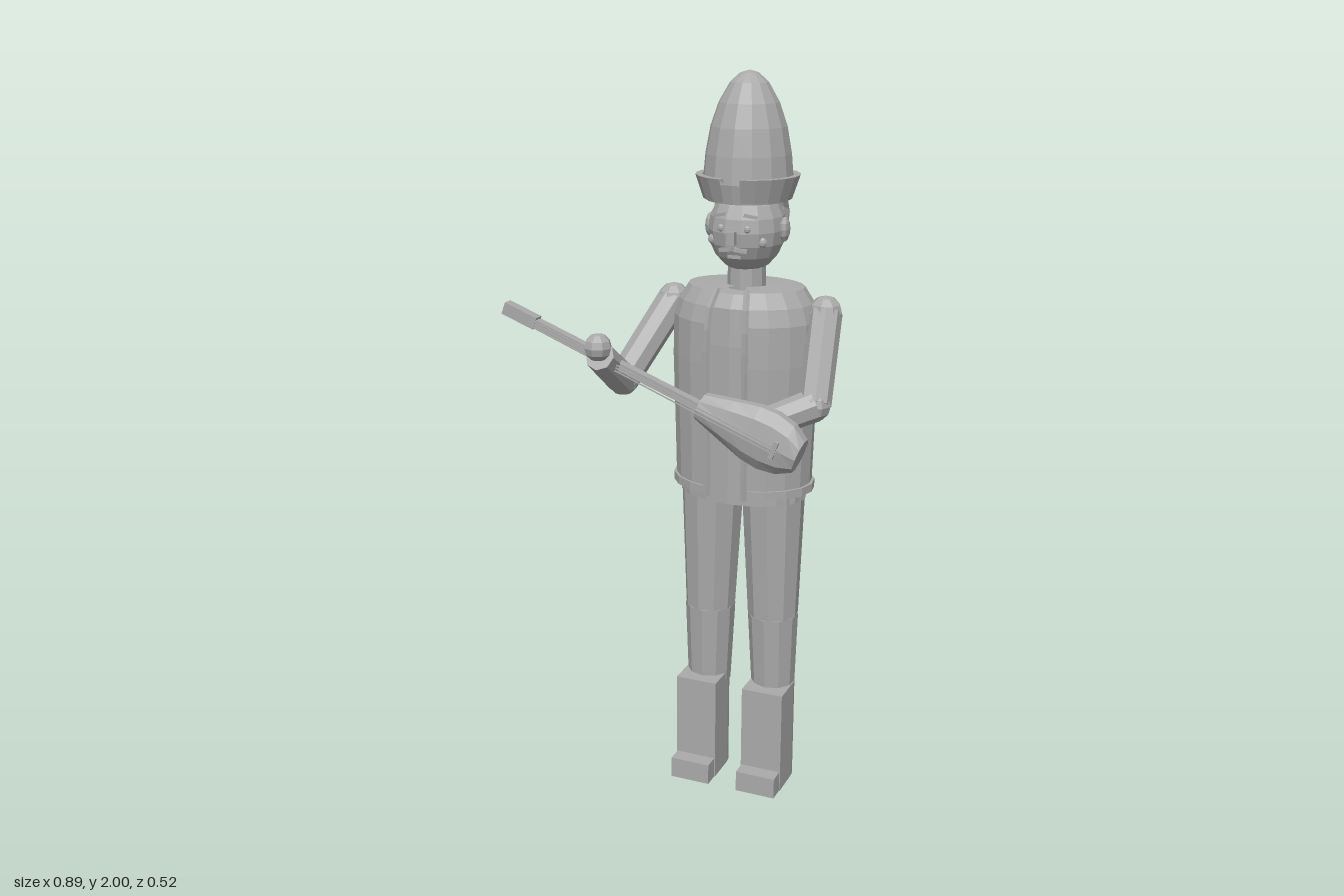
import * as THREE from 'three';

const CX = 0.158, CZ = -0.11; // body axis

export function createModel() {
  const root = new THREE.Group();
  root.name = 'toySoldier';
  const grey = new THREE.MeshStandardMaterial({ color: 0xaaaaaa, flatShading: true, side: THREE.DoubleSide });
  grey.name = 'plain grey';
  const V = (x, y, z) => new THREE.Vector3(x, y, z);

  function add(name, geo, x = 0, y = 0, z = 0, parent = root) {
    const m = new THREE.Mesh(geo, grey);
    m.name = name;
    m.position.set(x, y, z);
    parent.add(m);
    return m;
  }
  // turned solid with unit radii, squashed to an oval
  function oval(name, pts, sx, sz, seg = 16, start = 0, len = Math.PI * 2) {
    const g = new THREE.LatheGeometry(pts.map(p => new THREE.Vector2(p[0], p[1])), seg, start, len);
    g.scale(sx, 1, sz);
    return add(name, g, CX, 0, CZ);
  }
  function ball(name, x, y, z, r, sx = 1, sy = 1, sz = 1, seg = 8) {
    return add(name, new THREE.SphereGeometry(r, seg, 6).scale(sx, sy, sz), x, y, z);
  }
  // tapered round bar from a to b
  function limb(name, a, b, ra, rb, seg = 8) {
    const d = b.clone().sub(a);
    const m = add(name, new THREE.CylinderGeometry(rb, ra, d.length(), seg));
    m.position.copy(a).addScaledVector(d, 0.5);
    m.quaternion.setFromUnitVectors(V(0, 1, 0), d.normalize());
    return m;
  }

  // hat: egg crown and a split flared band
  const crown = [[0.108, 1.67], [0.119, 1.72], [0.113, 1.79], [0.1, 1.86], [0.079, 1.92], [0.05, 1.97], [0.024, 1.993], [0, 2]];
  oval('hatCrown', crown, 1, 1.02, 14);
  const band = [[0.117, 1.675], [0.138, 1.737], [0.12, 1.737], [0.109, 1.675], [0.117, 1.675]];
  for (const s of [0, 1]) oval('hatBand', band, 1, 1, 9, 0.2 + s * Math.PI, Math.PI - 0.4);

  // head, neck and hair
  add('head', new THREE.SphereGeometry(0.11, 14, 10).scale(0.93, 1.05, 1), CX, 1.595, CZ);
  add('neck', new THREE.CylinderGeometry(0.05, 0.052, 0.12, 10), CX, 1.46, CZ);
  oval('hair', [[0.098, 1.575], [0.114, 1.6], [0.118, 1.64], [0.108, 1.69]], 0.93, 1.02, 8, Math.PI * 0.58, Math.PI * 0.84);

  // face, mirrored
  for (const s of [-1, 1]) {
    ball('ear', CX + s * 0.104, 1.598, CZ, 0.033, 0.4, 1, 0.75);
    ball('eye', CX + s * 0.036, 1.608, CZ + 0.099, 0.01, 1, 1, 0.6);
    const brow = add('eyebrow', new THREE.BoxGeometry(0.036, 0.008, 0.012), CX + s * 0.042, 1.64, CZ + 0.089);
    brow.rotation.set(0, s * 0.4, -s * 0.2);
    ball('cheek', CX + s * 0.068, 1.572, CZ + 0.073, 0.014, 1, 1, 0.7);
    const tache = add('moustache', new THREE.BoxGeometry(0.036, 0.01, 0.014), CX + s * 0.02, 1.553, CZ + 0.103);
    tache.rotation.set(0, s * 0.25, -s * 0.15);
  }
  add('nose', new THREE.BoxGeometry(0.02, 0.034, 0.026), CX, 1.585, CZ + 0.11);
  add('mouth', new THREE.BoxGeometry(0.036, 0.008, 0.01), CX, 1.533, CZ + 0.092);

  // shirt and hips under the jacket
  oval('shirt', [[0, 0.86], [0.9, 0.86], [0.9, 1.0], [0.92, 1.3], [0.88, 1.4], [0.7, 1.435], [0, 1.44]], 0.2, 0.135);

  // jacket: open at the front, with hem and front edges
  const open = 0.26, wrap = Math.PI * 2 - open * 2;
  oval('jacket', [[0.96, 0.89], [0.98, 1.05], [1.01, 1.25], [1.0, 1.36], [0.93, 1.405], [0.8, 1.445], [0.3, 1.447]],
    0.2, 0.147, 18, open, wrap);
  oval('jacketHem', [[0.94, 0.887], [1, 0.887], [1, 0.91], [0.94, 0.91]], 0.2, 0.147, 18, open, wrap);
  for (const s of [-1, 1]) {
    const x = CX + s * 0.053;
    const path = new THREE.CatmullRomCurve3([
      V(x, 0.885, 0.032), V(x, 1.1, 0.035), V(x, 1.34, 0.038), V(x - s * 0.004, 1.41, 0.024), V(x - s * 0.012, 1.45, -0.005)]);
    add('jacketEdge', new THREE.TubeGeometry(path, 10, 0.009, 5));
  }

  // legs and boots
  const sole = new THREE.Shape();
  sole.moveTo(-0.06, 0.014);
  sole.lineTo(0.06, 0.014);
  sole.lineTo(0.06, 0.112);
  sole.absarc(0, 0.112, 0.06, 0, Math.PI, false);
  sole.closePath();
  const bootGeo = new THREE.ExtrudeGeometry(sole, { depth: 0.3, bevelEnabled: false, curveSegments: 6 }).rotateX(-Math.PI / 2);
  for (const s of [-1, 1]) {
    const hip = V(CX + s * 0.09, 0.89, -0.106), knee = V(CX + s * 0.095, 0.51, -0.108), ankle = V(CX + s * 0.098, 0.27, -0.112);
    limb('thigh', hip, knee, 0.088, 0.071, 10);
    limb('shin', knee, ankle, 0.071, 0.061, 10);
    add('boot', bootGeo, CX + s * 0.1, 0, 0);
    add('toe', new THREE.BoxGeometry(0.115, 0.06, 0.06), CX + s * 0.1, 0.03, 0.001);
  }

  // arms
  function arm(side, shoulder, elbow, wrist, hand) {
    ball(side + 'Shoulder', shoulder.x, shoulder.y, shoulder.z, 0.046);
    limb(side + 'UpperArm', shoulder, elbow, 0.045, 0.043);
    ball(side + 'Elbow', elbow.x, elbow.y, elbow.z, 0.043);
    limb(side + 'Forearm', elbow, wrist, 0.044, 0.04);
    ball(side + 'Hand', hand.x, hand.y, hand.z, 0.037);
  }
  arm('right', V(-0.055, 1.385, -0.115), V(-0.14, 1.185, 0.035), V(-0.138, 1.285, 0.18), V(-0.122, 1.32, 0.222));
  arm('left', V(0.378, 1.385, -0.115), V(0.398, 1.17, 0.015), V(0.275, 1.12, 0.085), V(0.26, 1.11, 0.11));

  // stringed instrument, laid out along its own x axis
  const lute = new THREE.Group();
  lute.name = 'lute';
  lute.position.set(0.125, 1.165, 0.122);
  lute.rotation.z = -0.36;
  root.add(lute);
  // body: oval rings whose width follows the outline
  const outline = [[0, 0.038], [0.08, 0.062], [0.15, 0.082], [0.2, 0.086], [0.25, 0.075], [0.29, 0.048]];
  const bodyGeo = new THREE.CylinderGeometry(1, 1, 1, 10, outline.length - 1);
  const pos = bodyGeo.attributes.position;
  for (let i = 0; i < pos.count; i++) {
    const [along, half] = outline[Math.round((0.5 - pos.getY(i)) * (outline.length - 1))];
    // (z, x) keep the ring's handedness once the axis is turned to -y -> +x
    pos.setXYZ(i, along, pos.getX(i) * half, pos.getZ(i) * 0.041);
  }
  add('luteBody', bodyGeo, 0, 0, 0, lute);
  add('luteNeck', new THREE.BoxGeometry(0.54, 0.022, 0.026), -0.26, 0, 0.008, lute);
  add('luteHead', new THREE.BoxGeometry(0.1, 0.034, 0.03), -0.555, 0.0, 0.008, lute);
  add('luteBridge', new THREE.BoxGeometry(0.012, 0.05, 0.012), 0.23, 0, 0.042, lute);
  for (let i = -1; i <= 1; i++) {
    const string = add('luteString', new THREE.BoxGeometry(0.76, 0.003, 0.003), -0.14, i * 0.008, 0.038, lute);
    string.rotation.y = -0.025;
  }
  return root;
}
